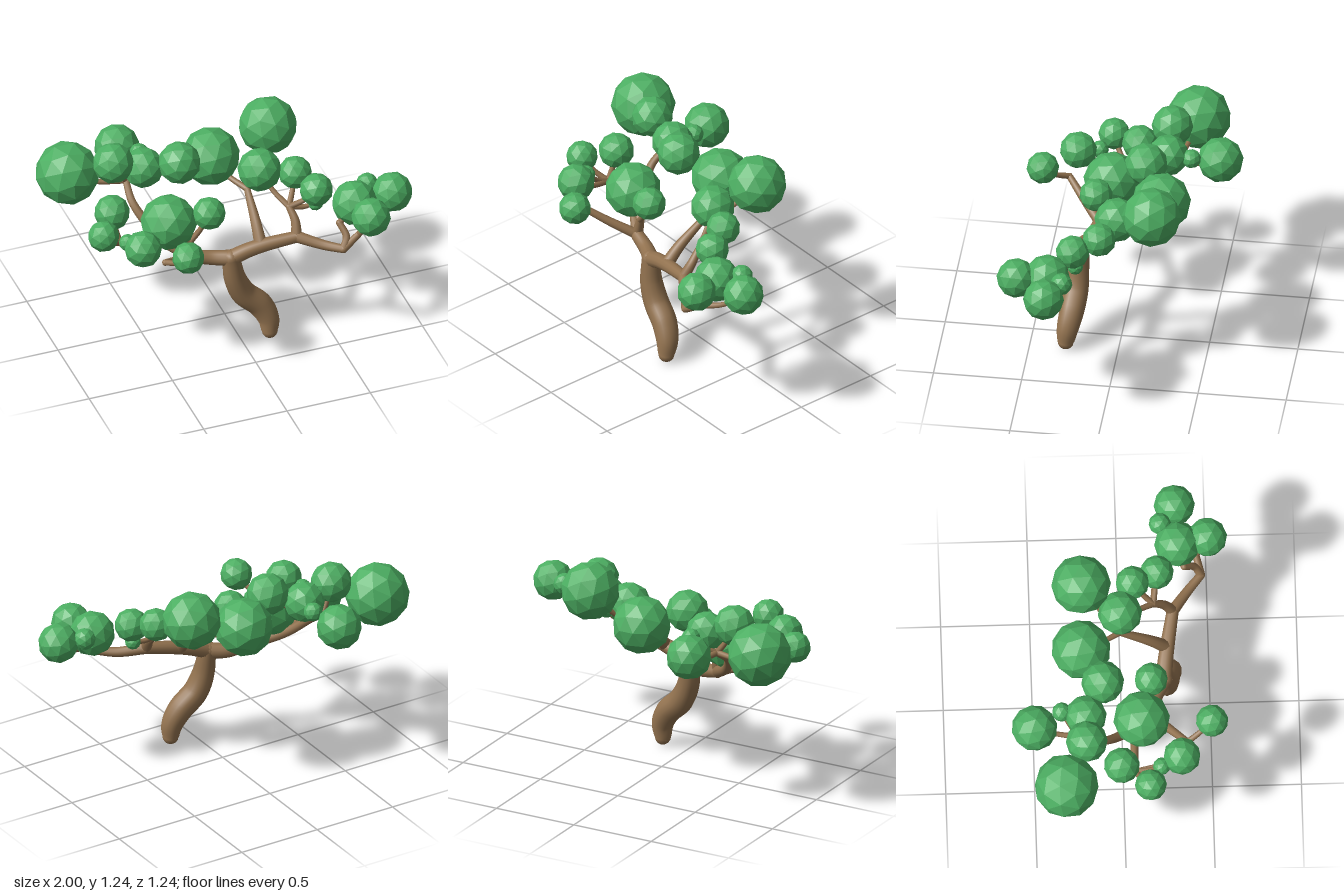
import * as THREE from 'three';

const bark = new THREE.MeshStandardMaterial({ color: 0x92724f });
const leaf = new THREE.MeshStandardMaterial({ color: 0x4cae62, flatShading: true });
const vec = p => new THREE.Vector3(...p);
const taper = (a, b) => u => THREE.MathUtils.lerp(a, b, u);

// Round limb along a path, its radius given as a function of the distance 0..1
function limb(name, path, radius, sides = 10) {
  const group = new THREE.Group();
  group.name = name;
  const curve = new THREE.CatmullRomCurve3(path);
  const steps = path.length * 6;
  const geo = new THREE.TubeGeometry(curve, steps, 1, sides);
  const pos = geo.attributes.position;
  const v = new THREE.Vector3();
  for (let n = 0; n < pos.count; n++) {
    const u = Math.floor(n / (sides + 1)) / steps;
    const c = curve.getPointAt(u);
    v.fromBufferAttribute(pos, n).sub(c).multiplyScalar(radius(u)).add(c);
    pos.setXYZ(n, v.x, v.y, v.z);
  }
  const wood = new THREE.Mesh(geo, bark);
  wood.name = name + 'Wood';
  group.add(wood);
  // Rounded ends also blend the joints
  for (const u of [0, 1]) {
    const end = new THREE.Mesh(new THREE.SphereGeometry(radius(u), sides, 8), bark);
    end.name = name + 'End';
    end.position.copy(curve.getPointAt(u));
    group.add(end);
  }
  return group;
}

// Faceted ball of leaves, turned differently for each index
function leafClump(name, centre, radius, i) {
  const clump = new THREE.Mesh(new THREE.IcosahedronGeometry(radius, 1), leaf);
  clump.name = name;
  clump.position.copy(centre);
  clump.rotation.set(i * 1.3, i * 2.1, i * 0.7);
  return clump;
}

// Bough whose tip sends a sagging twig to each clump [x, y, z, radius]
function bough(name, path, radius, clumps) {
  const points = path.map(vec);
  const group = limb(name, points, taper(radius, 0.019));
  const tip = points[points.length - 1];
  clumps.forEach(([x, y, z, r], i) => {
    const centre = new THREE.Vector3(x, y, z);
    const bend = tip.clone().lerp(centre, 0.55);
    bend.y -= tip.distanceTo(centre) * 0.1;
    group.add(
      limb(name + 'Twig' + (i + 1), [tip, bend, centre], taper(0.018, 0.012), 8),
      leafClump(name + 'Leaves' + (i + 1), centre, r, i + name.length));
  });
  return group;
}

export function createModel() {
  const tree = new THREE.Group();
  tree.name = 'tree';
  const fork = [-0.05, 0.56, 0.24];
  const leftHub = [-0.27, 0.575, 0.16];
  const midHub = [0.32, 0.655, 0.3];
  const rightHub = [0.54, 0.625, 0.465];

  // Leaning, S-curved trunk, thickest below its middle
  const trunkPath = [[0.16, 0.046, 0.295], [0.155, 0.13, 0.285], [0.11, 0.22, 0.268],
    [0.02, 0.31, 0.255], [-0.03, 0.42, 0.25], fork].map(vec);
  tree.add(limb('trunk', trunkPath, u => 0.046 + 0.004 * u + 0.025 * Math.sin(Math.PI * u ** 0.8), 14));

  // Main limbs leaving the fork
  tree.add(limb('leftLimb', [fork, [-0.15, 0.555, 0.19], leftHub].map(vec), taper(0.047, 0.037), 12));
  tree.add(limb('rightLimb', [fork, [0.04, 0.595, 0.25], [0.13, 0.62, 0.265], midHub].map(vec), taper(0.047, 0.034), 12));
  tree.add(limb('rightLimbTip', [midHub, [0.45, 0.625, 0.39], rightHub].map(vec), taper(0.034, 0.024), 12));

  // Boughs of the left side
  tree.add(bough('leftRearBough', [leftHub, [-0.42, 0.68, 0], [-0.5, 0.8, -0.13], [-0.5, 0.88, -0.25]], 0.035, [
    [-0.82, 0.96, -0.33, 0.183], [-0.46, 0.935, -0.5, 0.13], [-0.59, 1.05, -0.21, 0.118],
    [-0.41, 0.975, -0.21, 0.118], [-0.385, 0.98, -0.345, 0.055], [-0.23, 1.03, -0.11, 0.122]]));
  tree.add(bough('leftUprightBough', [leftHub, [-0.26, 0.67, 0.15]], 0.032, [
    [-0.375, 0.8, 0.105, 0.16], [-0.155, 0.845, 0.165, 0.095]]));
  tree.add(bough('leftFrontBough', [leftHub, [-0.39, 0.65, 0.27], [-0.49, 0.72, 0.36]], 0.03, [
    [-0.405, 0.825, 0.5, 0.092]]));
  tree.add(bough('leftOuterBough', [leftHub, [-0.44, 0.66, 0.07], [-0.65, 0.695, 0.06]], 0.03, [
    [-0.67, 0.86, -0.015, 0.102], [-0.78, 0.83, 0.145, 0.09],
    [-0.66, 0.8, 0.21, 0.05], [-0.61, 0.82, 0.325, 0.106]]));

  // Boughs of the right side
  tree.add(bough('rightRearBough', [[0.12, 0.62, 0.26], [0.125, 0.71, 0.17], [0.135, 0.83, 0]], 0.038, [
    [0, 0.94, -0.225, 0.168], [0.34, 1.075, -0.215, 0.168]]));
  tree.add(bough('rightMiddleBough', [midHub, [0.33, 0.73, 0.25], [0.315, 0.79, 0.19]], 0.033, [
    [0.21, 0.945, 0, 0.126], [0.395, 0.93, 0.075, 0.096],
    [0.47, 0.885, 0.215, 0.096], [0.47, 0.785, 0.2, 0.045]]));
  tree.add(bough('rightInnerBough', [rightHub, [0.57, 0.68, 0.43], [0.55, 0.74, 0.37]], 0.024, [
    [0.655, 0.83, 0.335, 0.13], [0.765, 0.87, 0.24, 0.063]]));
  tree.add(bough('rightOuterBough', [rightHub, [0.64, 0.685, 0.44]], 0.024, [
    [0.885, 0.84, 0.325, 0.116], [0.69, 0.835, 0.505, 0.112]]));
  return tree;
}
